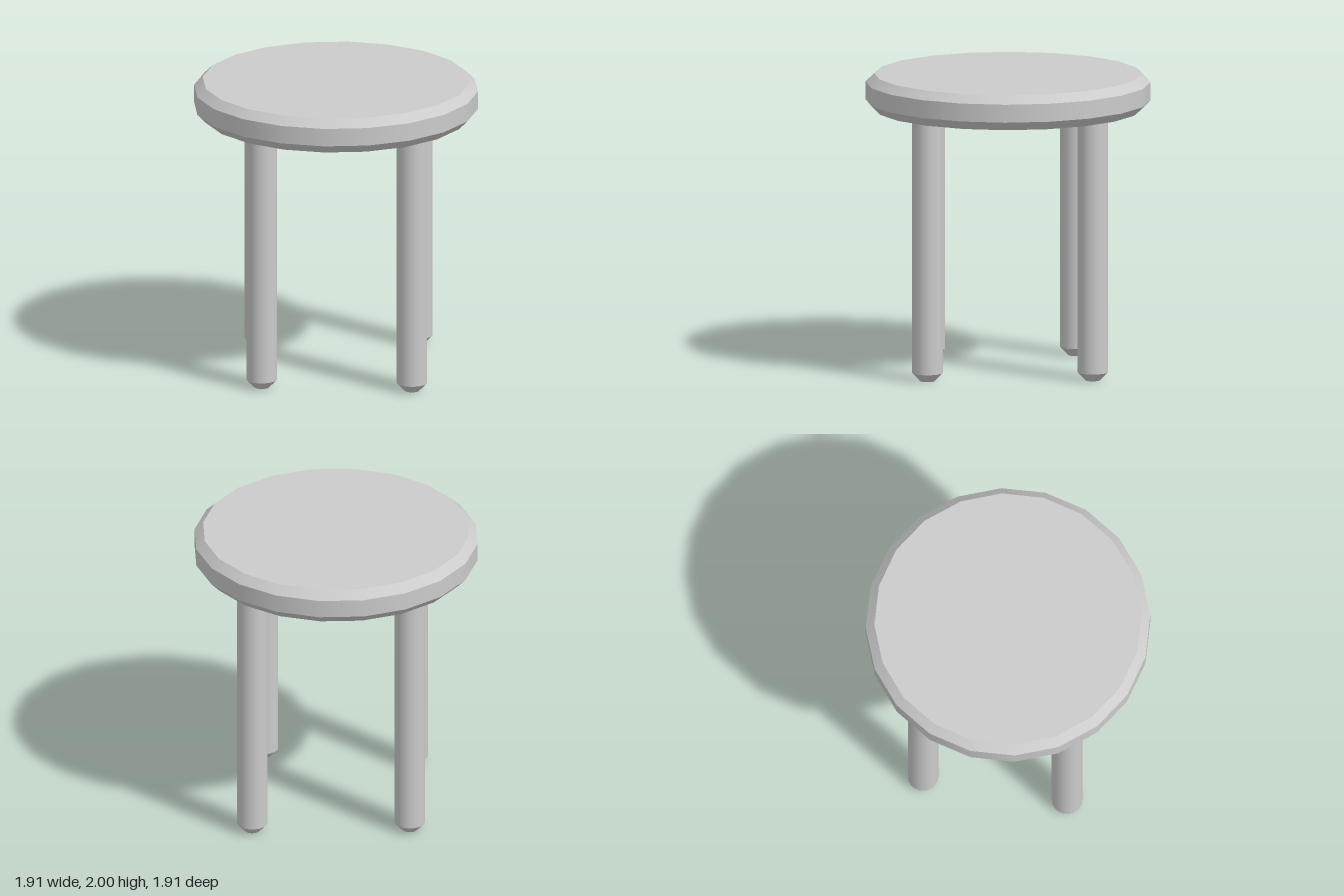
import * as THREE from 'three';
import { mergeGeometries } from 'three/addons/utils/BufferGeometryUtils.js';

const SIDES = 20;

// Round solid from [radius, y] rings: smooth around, sharp between bands, capped at both ends
function turned(rings) {
  const bands = [];
  for (let i = 0; i < rings.length - 1; i++) {
    const [r0, y0] = rings[i];
    const [r1, y1] = rings[i + 1];
    bands.push(new THREE.CylinderGeometry(r1, r0, y1 - y0, SIDES, 1, true).translate(0, (y0 + y1) / 2, 0));
  }
  const [rBottom, yBottom] = rings[0];
  const [rTop, yTop] = rings[rings.length - 1];
  // Turn each cap so its corners meet those of the bands
  bands.push(new THREE.CircleGeometry(rBottom, SIDES).rotateX(Math.PI / 2).translate(0, yBottom, 0));
  bands.push(new THREE.CircleGeometry(rTop, SIDES).rotateX(-Math.PI / 2).translate(0, yTop, 0));
  return mergeGeometries(bands);
}

export function createModel() {
  const stool = new THREE.Group();
  stool.name = 'stool';
  const material = new THREE.MeshStandardMaterial({ color: 0xcccccc });

  // Round seat, bevelled along both rims
  const seat = new THREE.Mesh(turned([[0.897, 1.762], [0.955, 1.822], [0.955, 1.944], [0.897, 2]]), material);
  seat.name = 'seat';
  stool.add(seat);

  // Four slightly uneven legs with tapered feet
  const legGeometry = turned([[0.05, 0], [0.103, 0.055], [0.103, 1.762]]);
  const legs = {
    frontLeg: [0.14, 0.753],
    backLeg: [-0.187, -0.679],
    leftLeg: [0.743, -0.177],
    rightLeg: [-0.682, 0.166],
  };
  for (const [name, [x, z]] of Object.entries(legs)) {
    const leg = new THREE.Mesh(legGeometry, material);
    leg.name = name;
    leg.position.set(x, 0, z);
    stool.add(leg);
  }
  return stool;
}
